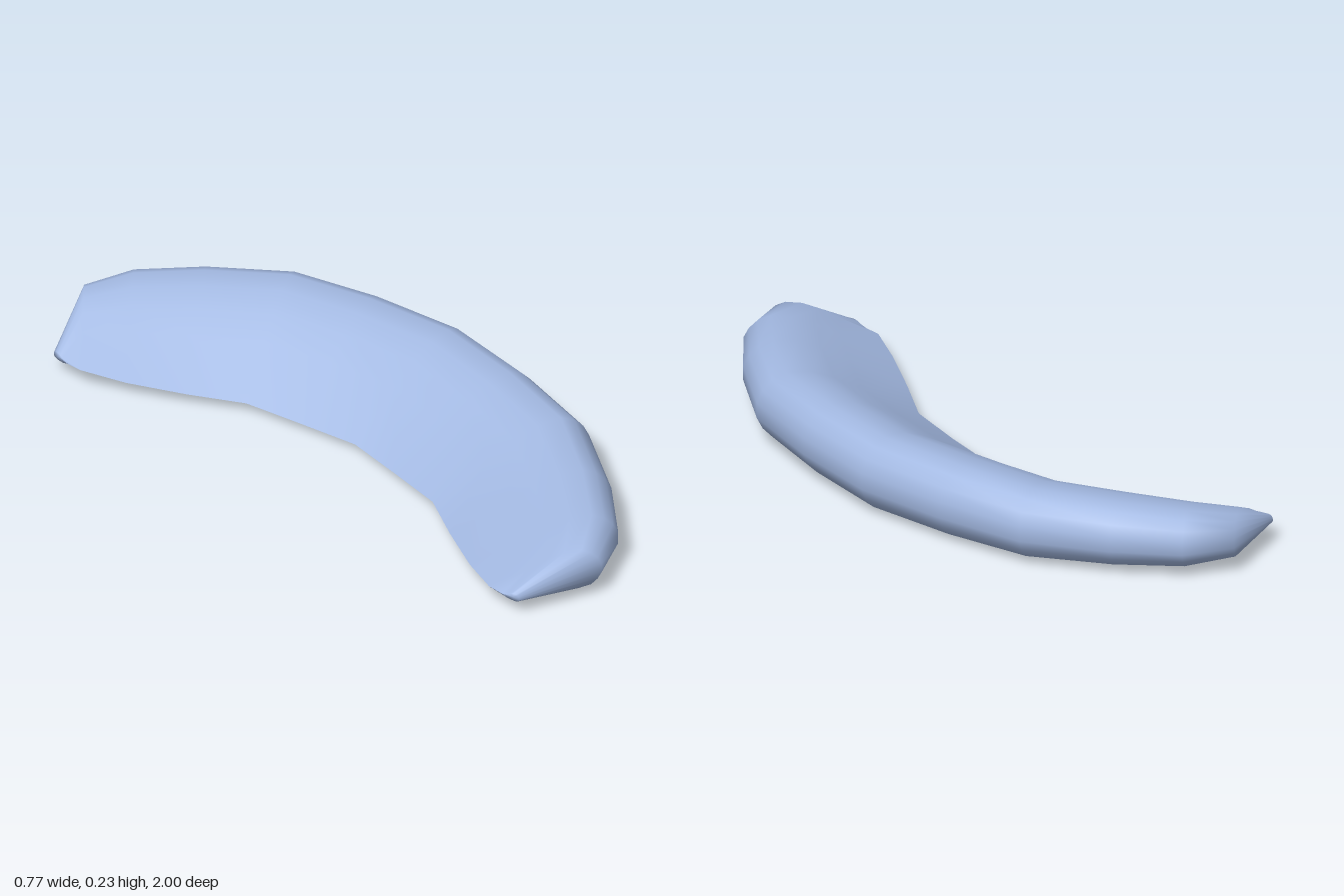
import * as THREE from 'three';

// Half of the crescent, middle to tip: inner x, z, y; outer x, z; bottom y, top y
const half = [
  [-0.09, 0, 0.03, 0.386, 0, 0, 0.228],
  [-0.12, 0.18, 0.031, 0.35, 0.29, 0.001, 0.226],
  [-0.155, 0.36, 0.035, 0.285, 0.56, 0.004, 0.219],
  [-0.245, 0.51, 0.042, 0.14, 0.78, 0.01, 0.206],
  [-0.33, 0.665, 0.052, 0.0, 0.935, 0.018, 0.19],
  [-0.385, 0.79, 0.065, -0.14, 1.0, 0.036, 0.168],
  [-0.386, 0.84, 0.064, -0.378, 0.9, 0.056, 0.08],
];

// Wedge profile from the thin inner edge over the top, round the nose and back
// underneath: u = inner to outer, v = bottom to top
const profile = [
  [0.35, 0.62], [0.52, 0.83], [0.67, 0.97], [0.82, 1], [0.905, 0.92], [0.964, 0.78], [1, 0.61],
  [1, 0.39], [0.964, 0.23], [0.905, 0.09], [0.79, 0.01], [0.6, 0], [0.3, 0.06],
];

// One ring of points; the inner edge is doubled so it stays sharp
function section([ix, iz, iy, ox, oz, bottom, top], side) {
  const edge = [ix, iy, iz * side];
  const ring = profile.map(([u, v]) => [
    ix + (ox - ix) * u,
    bottom + (top - bottom) * v,
    (iz + (oz - iz) * u) * side,
  ]);
  return [edge, ...ring, edge];
}

function crescentGeometry() {
  const rings = [
    ...half.slice(1).reverse().map((s) => section(s, -1)),
    ...half.map((s) => section(s, 1)),
  ];
  const n = rings[0].length;
  const points = rings.flat();
  const index = [];

  // Skin between neighbouring rings
  for (let i = 0; i < rings.length - 1; i++) {
    for (let j = 0; j < n - 1; j++) {
      const a = i * n + j;
      const b = a + n;
      index.push(a, b, a + 1, b, b + 1, a + 1);
    }
  }

  // Small caps at the two tips
  for (const i of [0, rings.length - 1]) {
    const centre = points.length;
    const ring = rings[i];
    points.push([0, 1, 2].map((k) => ring.reduce((sum, p) => sum + p[k], 0) / n));
    for (let j = 0; j < n - 1; j++) {
      const a = i * n + j;
      if (i === 0) index.push(centre, a, a + 1);
      else index.push(centre, a + 1, a);
    }
  }

  const geometry = new THREE.BufferGeometry();
  geometry.setAttribute('position', new THREE.Float32BufferAttribute(points.flat(), 3));
  geometry.setIndex(index);
  geometry.computeVertexNormals();
  return geometry;
}

export function createModel() {
  const group = new THREE.Group();
  const crescent = new THREE.Mesh(
    crescentGeometry(),
    new THREE.MeshStandardMaterial({ color: 0xa3b9e2 })
  );
  crescent.name = 'crescentWedge';
  group.add(crescent);
  return group;
}
